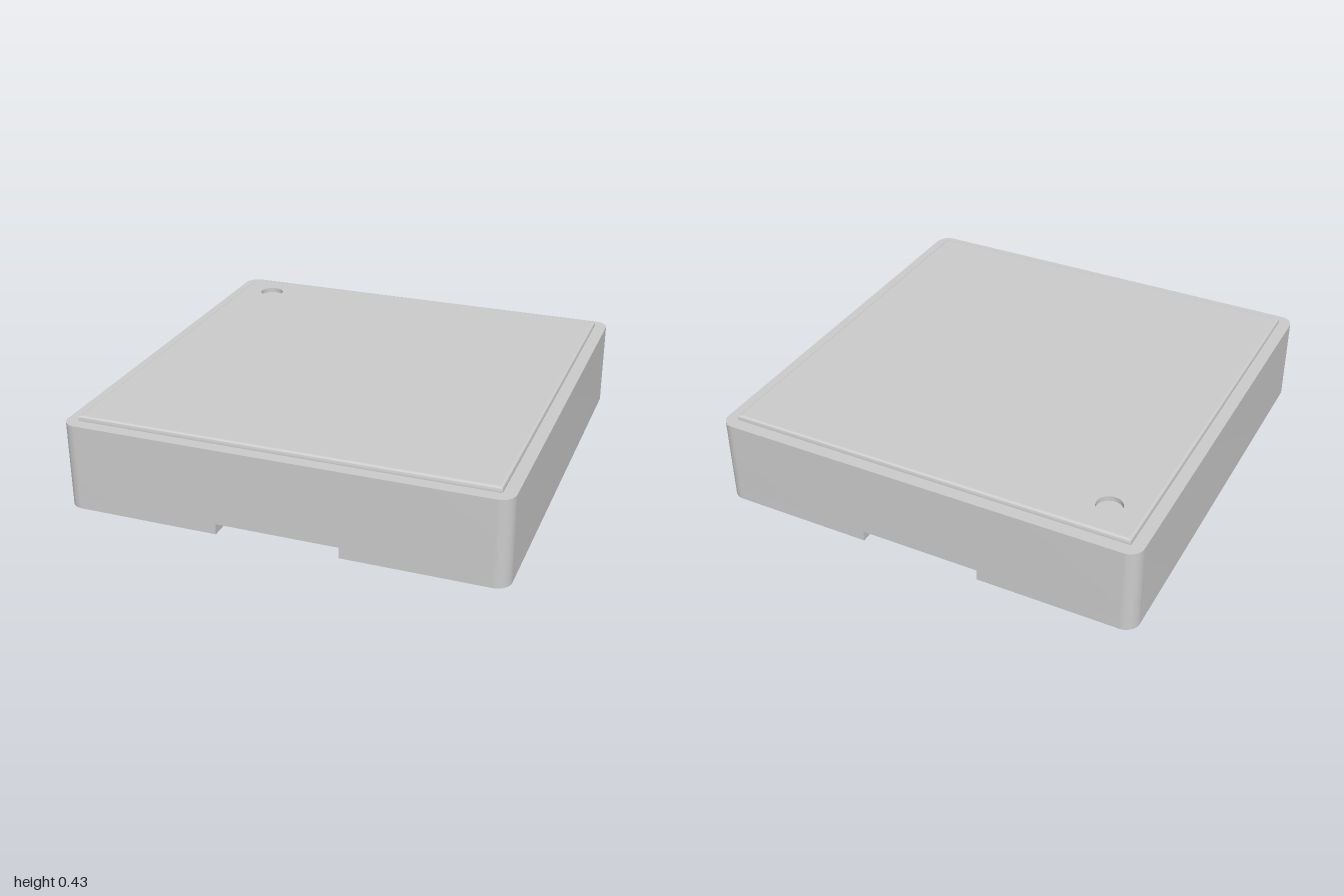
import * as THREE from 'three';
import { toCreasedNormals } from 'three/addons/utils/BufferGeometryUtils.js';

const HALF = 1, RADIUS = 0.065, BODY_TOP = 0.402;
const NOTCH = { half: 0.28, depth: 0.22, height: 0.05 };
const LID = { half: 0.943, top: 0.425, fillet: 0.012 };
const HOLE = { x: -0.78, z: -0.78, r: 0.058 };

// Rounded square outline, optionally notched in the middle of the front and back
function outline(notched) {
  const s = new THREE.Shape();
  const c = HALF - RADIUS;
  const notch = (side) => {
    if (!notched) return;
    const w = NOTCH.half * side, edge = HALF * side, inner = (HALF - NOTCH.depth) * side;
    s.lineTo(w, edge);
    s.lineTo(w, inner);
    s.lineTo(-w, inner);
    s.lineTo(-w, edge);
  };
  s.absarc(c, -c, RADIUS, -Math.PI / 2, 0);
  s.absarc(c, c, RADIUS, 0, Math.PI / 2);
  notch(1);
  s.absarc(-c, c, RADIUS, Math.PI / 2, Math.PI);
  s.absarc(-c, -c, RADIUS, Math.PI, Math.PI * 1.5);
  notch(-1);
  s.closePath();
  return s;
}

// Extrude an outline upwards from y0 to y1
function slab(shape, y0, y1) {
  const g = new THREE.ExtrudeGeometry(shape, { depth: y1 - y0, bevelEnabled: false, curveSegments: 10 });
  g.rotateX(-Math.PI / 2).translate(0, y0, 0);
  return toCreasedNormals(g, 0.6);
}

export function createModel() {
  const model = new THREE.Group();
  const material = new THREE.MeshStandardMaterial({ color: 0xcccccc });
  const add = (name, geometry, parent, mat = material) => {
    const mesh = new THREE.Mesh(geometry, mat);
    mesh.name = name;
    parent.add(mesh);
    return mesh;
  };

  // Body: notched base layer below a plain block
  const body = new THREE.Group();
  body.name = 'body';
  add('notchedBase', slab(outline(true), 0, NOTCH.height), body);
  add('block', slab(outline(false), NOTCH.height, BODY_TOP), body);

  // Lid: square rim with softened top edge, made by a four-sided lathe
  const lid = new THREE.Group();
  lid.name = 'lid';
  const inner = LID.half - LID.fillet;
  const profile = [new THREE.Vector2(LID.half * Math.SQRT2, BODY_TOP)];
  for (let i = 0; i <= 4; i++) {
    const a = (i / 4) * Math.PI / 2;
    profile.push(new THREE.Vector2(
      (inner + LID.fillet * Math.cos(a)) * Math.SQRT2,
      LID.top - LID.fillet + LID.fillet * Math.sin(a)));
  }
  const rim = new THREE.LatheGeometry(profile, 4).rotateY(Math.PI / 4);
  add('lidRim', toCreasedNormals(rim, 0.6), lid);

  // Lid top with a round corner recess
  const top = new THREE.Shape([[-1, -1], [1, -1], [1, 1], [-1, 1]]
    .map(([x, y]) => new THREE.Vector2(x * inner, y * inner)));
  top.holes.push(new THREE.Path().absarc(HOLE.x, -HOLE.z, HOLE.r, 0, Math.PI * 2, true));
  const face = new THREE.ShapeGeometry(top, 24).rotateX(-Math.PI / 2).translate(0, LID.top, 0);
  add('lidTop', face, lid);

  const wallMaterial = material.clone();
  wallMaterial.side = THREE.DoubleSide;
  const depth = LID.top - BODY_TOP;
  const wall = new THREE.CylinderGeometry(HOLE.r, HOLE.r, depth, 48, 1, true);
  add('recessWall', wall, lid, wallMaterial).position.set(HOLE.x, BODY_TOP + depth / 2, HOLE.z);

  model.add(body, lid);
  return model;
}
